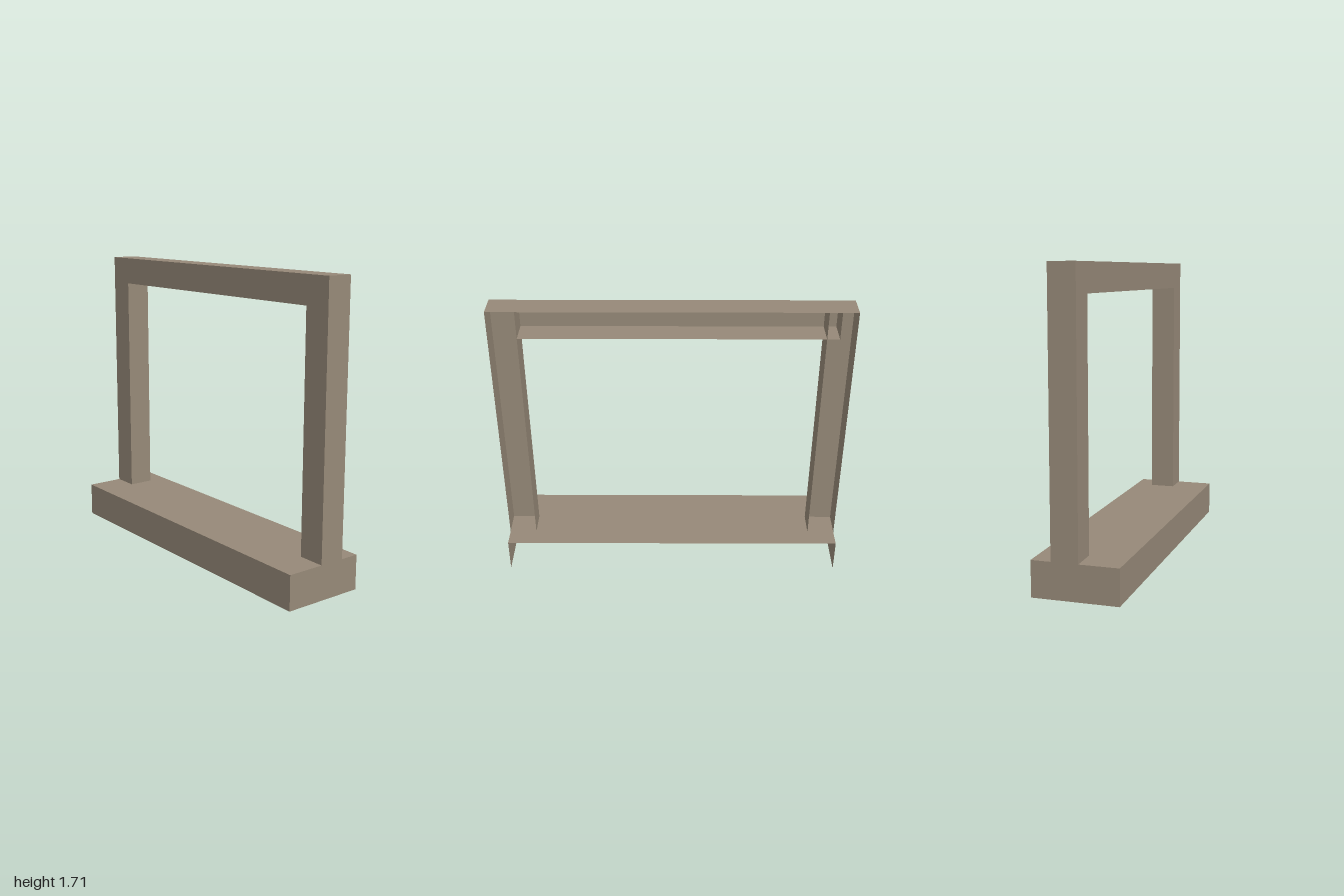
import * as THREE from 'three';

const W = 1, H = 1.71, BASE_H = 0.2, BASE_Z = 0.24; // half width, height, base size
const FRONT = 0.02, BACK = -0.13;                   // depth range of the frame
const INNER = 0.84, LINTEL = 1.55;                  // opening

export function createModel() {
  const group = new THREE.Group();
  group.name = 'openBackedFrame';
  const material = new THREE.MeshStandardMaterial({
    color: 0x968978, side: THREE.DoubleSide, flatShading: true,
  });

  function add(name, geometry) {
    const mesh = new THREE.Mesh(geometry, material);
    mesh.name = name;
    group.add(mesh);
  }

  // Thin panels, one helper per facing direction
  const sheetX = (name, x, y0, y1, z0, z1, sign) => add(name,
    new THREE.PlaneGeometry(z1 - z0, y1 - y0).rotateY(sign * Math.PI / 2)
      .translate(x, (y0 + y1) / 2, (z0 + z1) / 2));
  const sheetY = (name, y, x0, x1, z0, z1, sign) => add(name,
    new THREE.PlaneGeometry(x1 - x0, z1 - z0).rotateX(-sign * Math.PI / 2)
      .translate((x0 + x1) / 2, y, (z0 + z1) / 2));

  // Base: open at the back and underneath
  sheetY('baseTop', BASE_H, -W, W, -BASE_Z, BASE_Z, 1);
  add('baseFront', new THREE.PlaneGeometry(2 * W, BASE_H).translate(0, BASE_H / 2, BASE_Z));

  // Frame front: two posts and a lintel in one piece
  const outline = new THREE.Shape([
    [-W, BASE_H], [-INNER, BASE_H], [-INNER, LINTEL], [INNER, LINTEL],
    [INNER, BASE_H], [W, BASE_H], [W, H], [-W, H],
  ].map(([x, y]) => new THREE.Vector2(x, y)));
  add('frameFront', new THREE.ShapeGeometry(outline).translate(0, 0, FRONT));

  // Post sides and base ends, mirrored
  for (const s of [-1, 1]) {
    sheetX('baseEnd', s * W, 0, BASE_H, -BASE_Z, BASE_Z, s);
    sheetX('postOuterSide', s * W, BASE_H, H, BACK, FRONT, s);
    sheetX('postInnerSide', s * INNER, BASE_H, H, BACK, FRONT, -s);
  }

  // Lintel top and underside, with the short return at one end
  const RETURN = -0.91;
  sheetY('lintelTop', H, -W, W, BACK, FRONT, 1);
  sheetY('lintelUnderside', LINTEL, RETURN, INNER, BACK, FRONT, -1);
  sheetX('lintelEndPlate', RETURN, LINTEL, H, BACK, FRONT, -1);

  return group;
}
